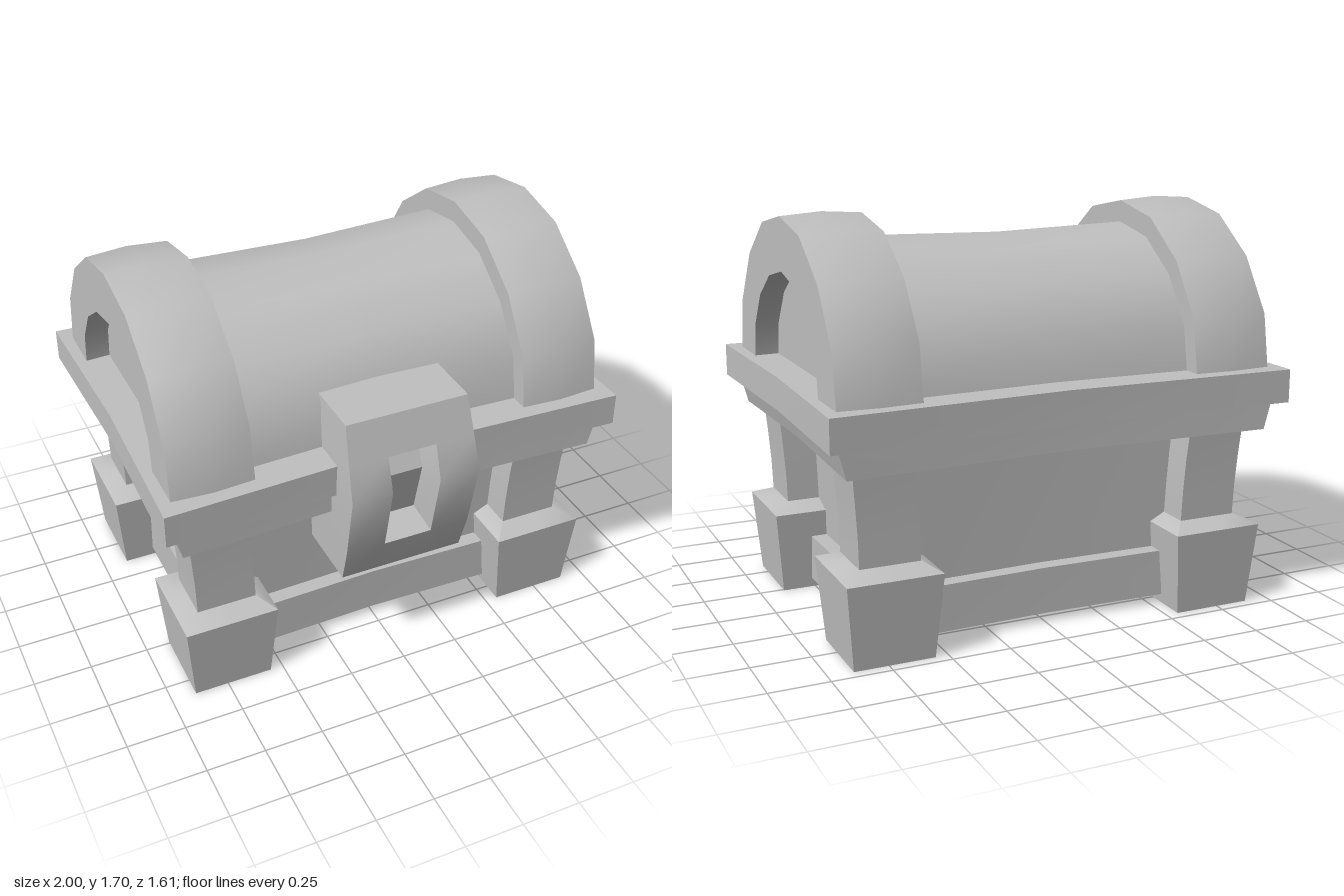
import * as THREE from 'three';
import { toCreasedNormals } from 'three/addons/utils/BufferGeometryUtils.js';

const CREASE = 0.6;
const grey = new THREE.MeshStandardMaterial({ color: 0xc0c0c0 });
grey.name = 'grey';

function part(name, geometry) {
  const mesh = new THREE.Mesh(toCreasedNormals(geometry, CREASE), grey);
  mesh.name = name;
  return mesh;
}

// Geometry from a list of quads, corners counterclockwise from outside
function fromQuads(quads) {
  const pos = [];
  for (const [a, b, c, d] of quads) pos.push(...a, ...b, ...c, ...a, ...c, ...d);
  const g = new THREE.BufferGeometry();
  g.setAttribute('position', new THREE.Float32BufferAttribute(pos, 3));
  return g;
}

// Horizontal rectangle at height y, its edge midpoints pulled in by bowX, bowZ
function section(y, w, d, bowX = 0, bowZ = 0, cx = 0, cz = 0) {
  return [[w, d], [w - bowX, 0], [w, -d], [0, -d + bowZ], [-w, -d], [-w + bowX, 0], [-w, d], [0, d - bowZ]]
    .map(([x, z]) => [cx + x, y, cz + z]);
}

// Closed solid through sections ordered from bottom to top
function loft(sections) {
  const quads = [], n = sections[0].length;
  const mid = (s) => [(s[0][0] + s[4][0]) / 2, s[0][1], (s[0][2] + s[4][2]) / 2];
  const bottom = sections[0], top = sections[sections.length - 1];
  for (let i = 0; i < n; i++) {
    const j = (i + 1) % n;
    for (let k = 0; k + 1 < sections.length; k++)
      quads.push([sections[k][i], sections[k][j], sections[k + 1][j], sections[k + 1][i]]);
    if (i % 2 === 0) {
      const l = (i + 2) % n;
      quads.push([mid(top), top[i], top[j], top[l]], [mid(bottom), bottom[l], bottom[j], bottom[i]]);
    }
  }
  return fromQuads(quads);
}

// Half arch as [half depth, height above the rim], mirrored into a full arc
const BASE = 1.03;
const OUTER = [[0.675, 0], [0.635, 0.235], [0.485, 0.46], [0.262, 0.62], [0, 0.67]];
const INNER = [[0.455, 0], [0.435, 0.15], [0.335, 0.3], [0.18, 0.405], [0, 0.445]];
const arc = (half) => [...half, ...half.slice(0, -1).reverse().map(([z, y]) => [-z, y])];

// Arch profile extruded along x, scaled in depth and height by a rule of x
function archGeometry(points, x0, x1, rule) {
  const shape = new THREE.Shape(points.map(([z, y]) => new THREE.Vector2(z, y)));
  const g = new THREE.ExtrudeGeometry(shape, { depth: x1 - x0, steps: 2, bevelEnabled: false });
  g.rotateY(Math.PI / 2).translate(x0, 0, 0);
  const p = g.attributes.position;
  for (let i = 0; i < p.count; i++) {
    const [sy, sz] = rule(p.getX(i));
    p.setXYZ(i, p.getX(i), BASE + p.getY(i) * sy, p.getZ(i) * sz);
  }
  return g;
}

// Bent lock plate with a tapered recess
function lockGeometry() {
  const ys = [0.5, 0.66, 0.955, 1.1, 1.26];
  const zs = [0.755, 0.805, 0.865, 0.817, 0.765];
  const ws = [0.27, 0.275, 0.28, 0.274, 0.265];
  const floorY = [0, 0.72, 0.955, 1.05];
  const back = 0.4, hole = 0.105, floor = 0.08, depth = 0.11;
  const front = (r, c) => [[-ws[r], -hole, hole, ws[r]][c], ys[r], zs[r]];
  const rear = (r, c) => [front(r, c)[0], ys[r], back];
  const inner = (r, c) => [c === 1 ? -floor : floor, floorY[r], zs[r] - depth];
  const quads = [];
  for (let r = 0; r < 4; r++) {
    const s = r + 1;
    for (let c = 0; c < 3; c++) {
      if (c === 1 && (r === 1 || r === 2)) {
        quads.push([inner(r, 1), inner(r, 2), inner(s, 2), inner(s, 1)]);
        quads.push([front(r, 1), inner(r, 1), inner(s, 1), front(s, 1)]);
        quads.push([inner(r, 2), front(r, 2), front(s, 2), inner(s, 2)]);
      } else quads.push([front(r, c), front(r, c + 1), front(s, c + 1), front(s, c)]);
    }
    quads.push([front(r, 3), rear(r, 3), rear(s, 3), front(s, 3)]);
    quads.push([rear(r, 0), front(r, 0), front(s, 0), rear(s, 0)]);
    quads.push([rear(r, 3), rear(r, 0), rear(s, 0), rear(s, 3)]);
  }
  // lower and upper recess walls, then the plate's top and bottom
  quads.push([front(1, 1), front(1, 2), inner(1, 2), inner(1, 1)]);
  quads.push([inner(3, 1), inner(3, 2), front(3, 2), front(3, 1)]);
  quads.push([front(4, 0), front(4, 3), rear(4, 3), rear(4, 0)]);
  quads.push([rear(0, 0), rear(0, 3), front(0, 3), front(0, 0)]);
  return fromQuads(quads);
}

export function createModel() {
  const model = new THREE.Group();
  model.name = 'chest';
  const body = new THREE.Group();
  body.name = 'chestBody';
  body.position.z = -0.06;
  model.add(body);

  // Box walls, base band and the two stepped rims
  body.add(
    part('walls', loft([section(0.2, 0.7, 0.45, 0.01, 0.02), section(0.85, 0.72, 0.47, 0.01, 0.02)])),
    part('baseBand', loft([section(0.04, 0.77, 0.52, 0.01, 0.02), section(0.24, 0.77, 0.52, 0.01, 0.02)])),
    part('lowerRim', loft([section(0.78, 0.92, 0.69, 0.02, 0.04), section(0.91, 0.955, 0.69, 0.02, 0.04)])),
    part('upperRim', loft([section(0.9, 1, 0.745, 0.02, 0.04), section(1.04, 1, 0.745, 0.02, 0.04)])),
  );

  // Corner posts and feet: [y, inner x, outer x, inner z, outer z]
  const POST = [[0.37, 0.59, 0.845, 0.36, 0.59], [0.52, 0.595, 0.85, 0.362, 0.593],
    [0.66, 0.603, 0.86, 0.365, 0.598], [0.8, 0.615, 0.872, 0.37, 0.606]];
  const FOOT = [[0, 0.555, 0.895, 0.3, 0.645], [0.355, 0.525, 0.925, 0.275, 0.675],
    [0.39, 0.59, 0.845, 0.36, 0.59]];
  for (const sx of [-1, 1]) for (const sz of [-1, 1]) {
    const corner = (rows) => loft(rows.map(([y, x0, x1, z0, z1]) =>
      section(y, (x1 - x0) / 2, (z1 - z0) / 2, 0, 0, sx * (x0 + x1) / 2, sz * (z0 + z1) / 2)));
    body.add(part('cornerPost', corner(POST)), part('foot', corner(FOOT)));
  }

  // Lid barrel, waisted at the middle
  const barrel = arc(OUTER.map(([z, y]) => [z * 0.867, y * 0.843]));
  body.add(part('lid', archGeometry(barrel, -0.84, 0.84, (x) => {
    const t = Math.abs(x) / 0.6;
    return [0.973 + 0.027 * t, 0.957 + 0.043 * t];
  })));

  // Thick arched bands at both ends of the lid
  const band = [...arc(OUTER), ...arc(INNER).reverse()];
  for (const side of [-1, 1]) {
    const a = side > 0 ? 0.6 : -0.945;
    body.add(part('lidBand', archGeometry(band, a, a + 0.345, (x) => {
      const s = 1 - 0.018 * Math.abs(Math.abs(x) - 0.7725) / 0.1725;
      return [s, s];
    })));
  }

  body.add(part('lock', lockGeometry()));
  return model;
}
